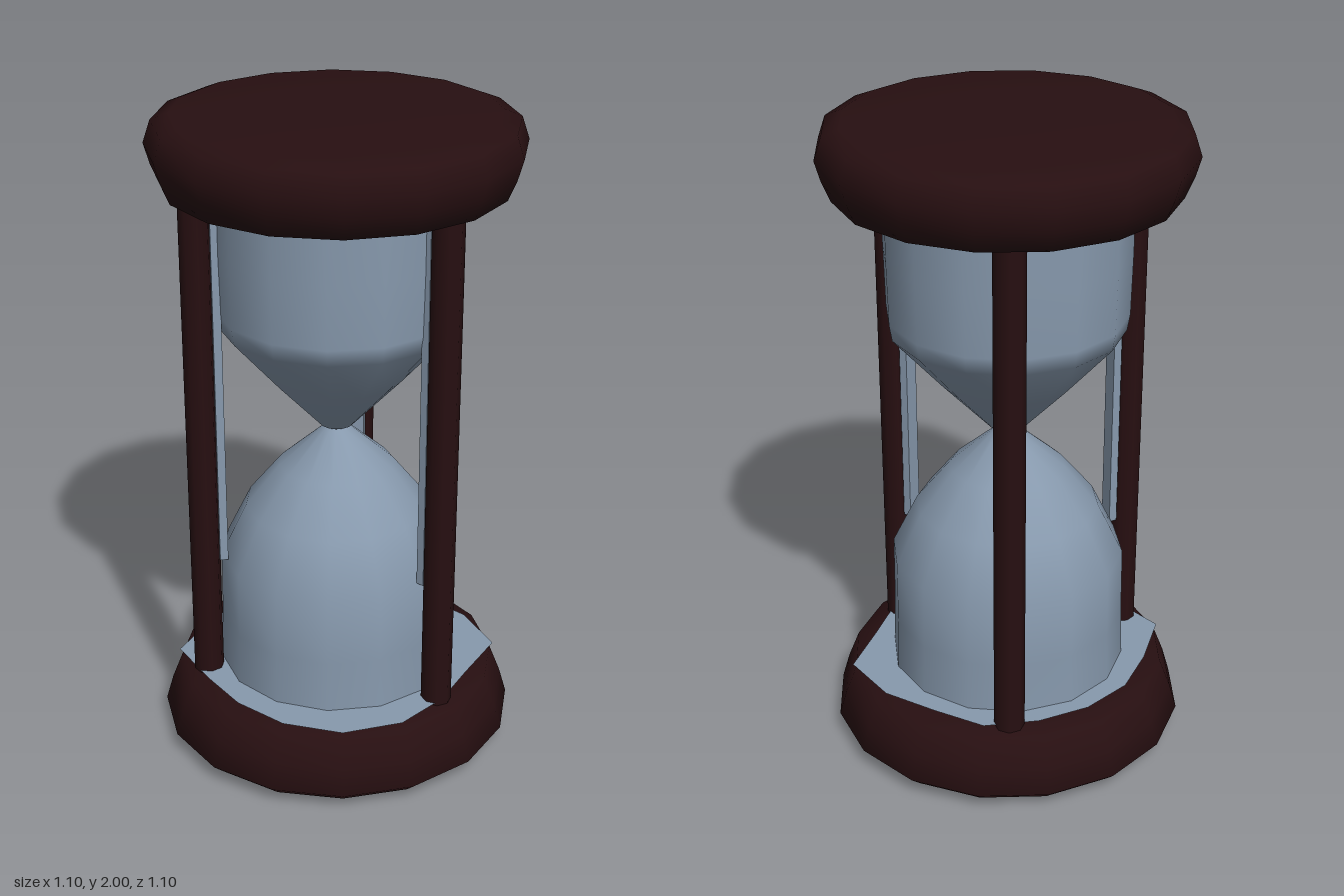
import * as THREE from 'three';

const wood = new THREE.MeshStandardMaterial({ color: 0x270f11 });
wood.name = 'dark wood';
const glass = new THREE.MeshStandardMaterial({ color: 0x8799ad, side: THREE.DoubleSide });
glass.name = 'pale glass';

function add(parent, name, geometry, material) {
  const mesh = new THREE.Mesh(geometry, material);
  mesh.name = name;
  parent.add(mesh);
  return mesh;
}

// Revolve [radius, height] pairs, listed from the bottom up
const turn = (profile, sides) =>
  new THREE.LatheGeometry(profile.map(([r, y]) => new THREE.Vector2(r, y)), sides);

export function createModel() {
  const model = new THREE.Group();
  model.name = 'hourglass';

  // Chunky sixteen-sided end discs
  add(model, 'base', turn(
    [[0, 0.005], [0.3, 0.012], [0.51, 0.025], [0.548, 0.06], [0.525, 0.14], [0.49, 0.23], [0.4, 0.235], [0, 0.235]], 16), wood);
  add(model, 'cap', turn(
    [[0, 1.78], [0.4, 1.78], [0.5, 1.78], [0.525, 1.84], [0.542, 1.9], [0.52, 1.965], [0.47, 1.985], [0.2, 2], [0, 2]], 16), wood);

  // Two bulbs meeting at a narrow neck
  add(model, 'lowerBulb', turn(
    [[0.365, 0.23], [0.36, 0.4], [0.358, 0.61], [0.28, 0.77], [0.175, 0.9], [0.045, 1.015], [0.03, 1.025]], 14), glass);
  add(model, 'upperBulb', turn(
    [[0.03, 1.02], [0.05, 1.03], [0.2, 1.19], [0.35, 1.36], [0.358, 1.41], [0.362, 1.6], [0.362, 1.785]], 14), glass);

  // Uneven pale skirt lying on the base, angles counted from the front towards +x
  const radii = [0.44, 0.43, 0.5, 0.46, 0.42, 0.44, 0.42, 0.42, 0.43, 0.44, 0.5, 0.44, 0.44, 0.46, 0.48, 0.47];
  const outline = radii.map((r, i) => {
    const a = (i / radii.length) * Math.PI * 2;
    return new THREE.Vector2(Math.sin(a) * r, -Math.cos(a) * r);
  });
  const skirt = add(model, 'skirt', new THREE.ShapeGeometry(new THREE.Shape(outline)), glass);
  skirt.rotation.x = -Math.PI / 2;
  skirt.position.y = 0.24;

  // Three posts, each with a pale strip on its inner side
  for (const angle of [0, 2.14, -2.14]) {
    const post = new THREE.Group();
    post.name = 'post';
    post.rotation.y = angle;
    const rod = add(post, 'rod', new THREE.CylinderGeometry(0.046, 0.046, 1.57, 8), wood);
    rod.position.set(0, 1.005, 0.413);
    const strip = add(post, 'innerStrip', new THREE.BoxGeometry(0.05, 1.13, 0.025), glass);
    strip.position.set(0, 1.185, 0.36);
    model.add(post);
  }
  return model;
}
